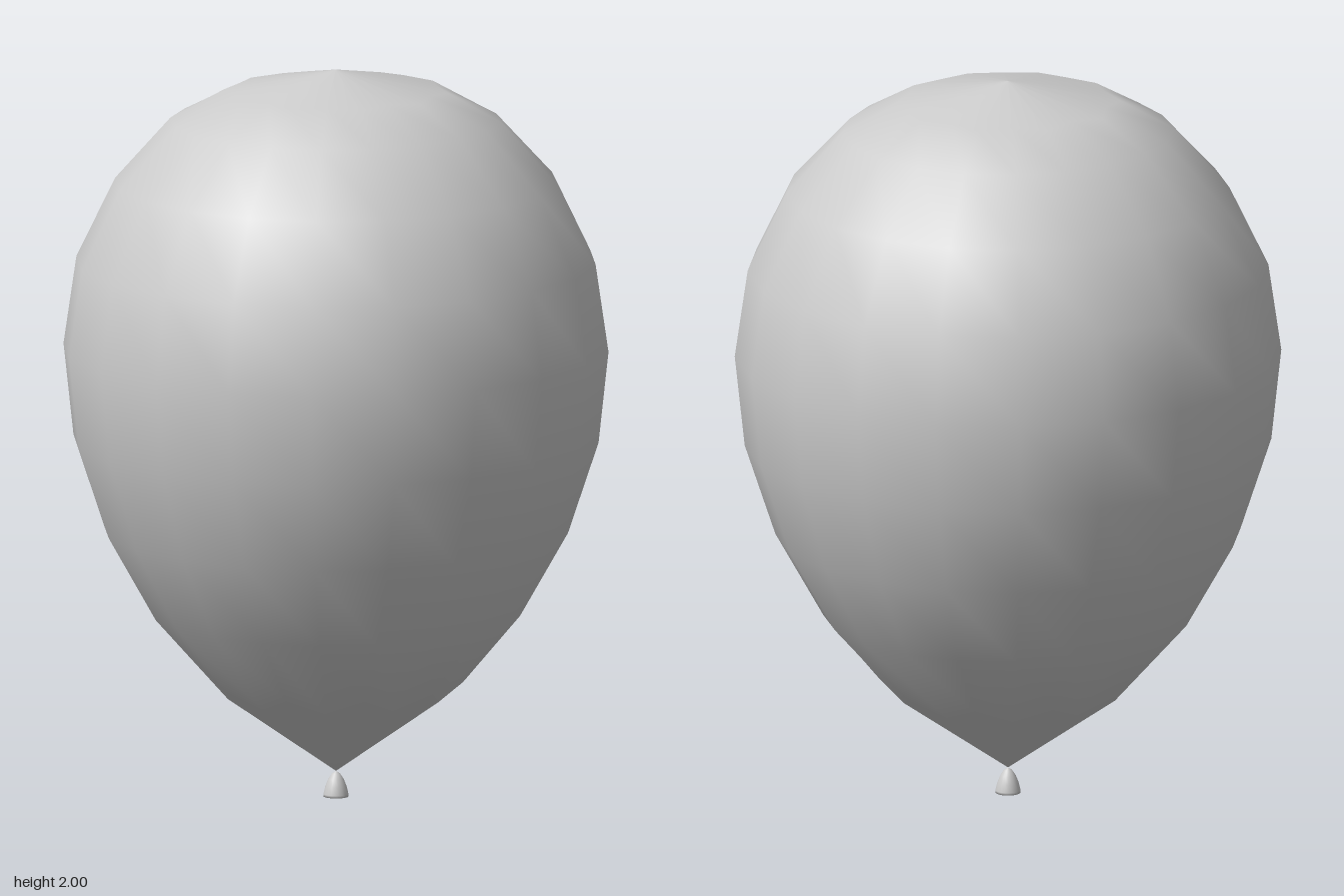
import * as THREE from 'three';

const SEGMENTS = 20;
const toPoints = (pairs) => pairs.map(([r, y]) => new THREE.Vector2(r, y));

export function createModel() {
  const group = new THREE.Group();
  const material = new THREE.MeshStandardMaterial({ color: 0xcccccc, side: THREE.DoubleSide });

  // Inflated body: a teardrop profile, pointed at the neck
  const profile = toPoints([
    [0, 0.07], [0.345, 0.32], [0.5, 0.505], [0.63, 0.735], [0.713, 0.985], [0.74, 1.235],
    [0.705, 1.475], [0.6, 1.692], [0.45, 1.86], [0.305, 1.94], [0, 2],
  ]);
  const bodyGeometry = new THREE.LatheGeometry(profile, SEGMENTS);

  // Every other meridian pulls in slightly in the rings next to the poles
  const pulled = { 1: [0.3, 0.28], 8: [0.445, 1.86], 9: [0.275, 1.946] };
  const position = bodyGeometry.attributes.position;
  for (let i = 1; i < SEGMENTS; i += 2) {
    const angle = (i / SEGMENTS) * Math.PI * 2;
    for (const [ring, [r, y]] of Object.entries(pulled)) {
      position.setXYZ(i * profile.length + Number(ring), r * Math.sin(angle), y, r * Math.cos(angle));
    }
  }
  const body = new THREE.Mesh(bodyGeometry, material);
  body.name = 'balloonBody';
  group.add(body);

  // Tied neck: a small flared skirt, hollow underneath
  const knotProfile = toPoints([
    [0, 0.05], [0.014, 0.04], [0.025, 0.012], [0.028, 0.002], [0.034, 0],
    [0.034, 0.007], [0.029, 0.028], [0.021, 0.048], [0.011, 0.063], [0, 0.07],
  ]);
  const knot = new THREE.Mesh(new THREE.LatheGeometry(knotProfile, SEGMENTS), material);
  knot.name = 'knot';
  group.add(knot);

  return group;
}
